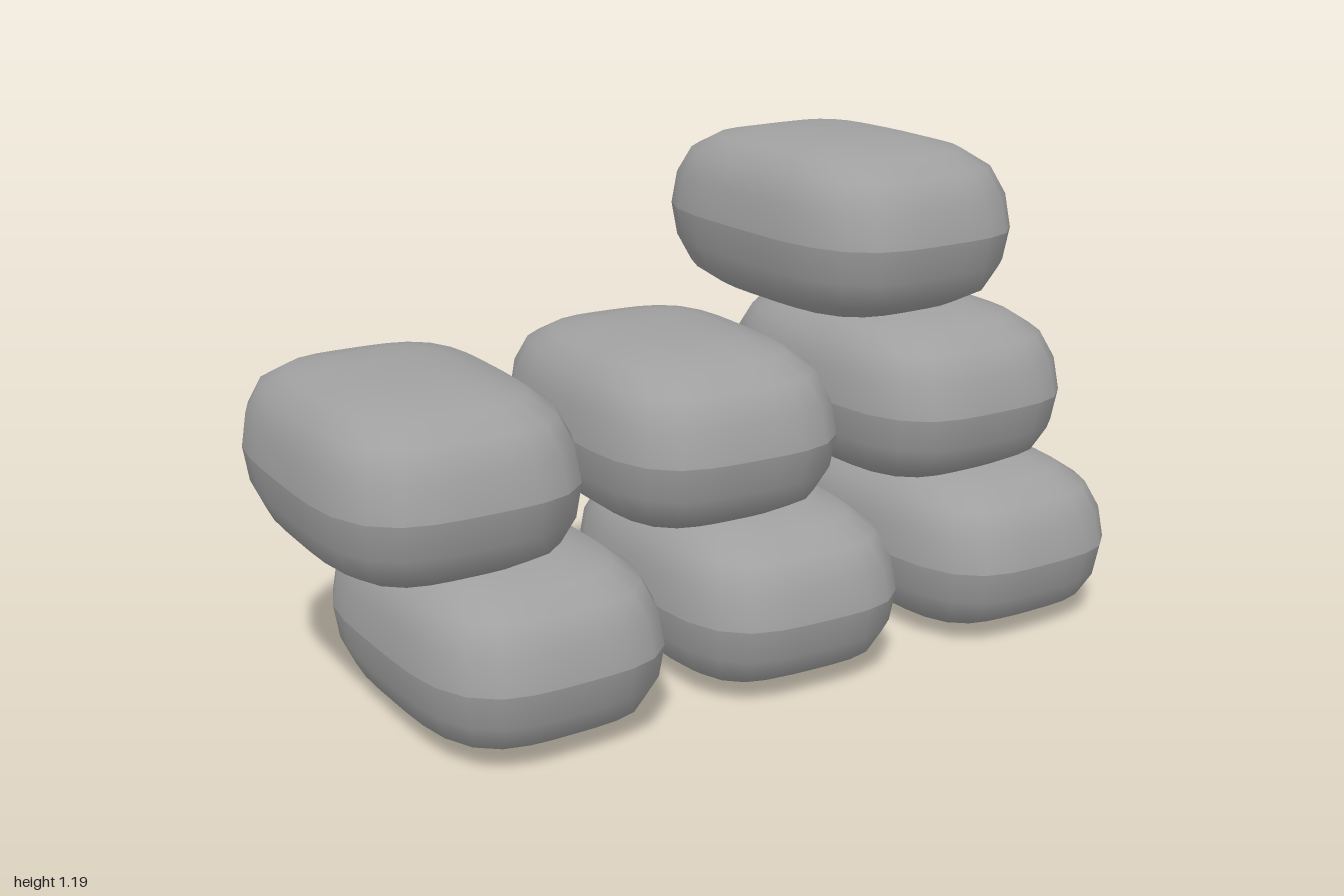
import * as THREE from 'three';
import { mergeVertices, mergeGeometries } from 'three/addons/utils/BufferGeometryUtils.js';

const HALF_WIDTH = 0.283, HALF_DEPTH = 0.402, SQUARENESS = 3.6;

// Half a stuffed bag: a lathed dome whose round plan is squared off.
function createHalf() {
  const profile = [[1, 0], [0.965, 0.075], [0.875, 0.135], [0.71, 0.17], [0.46, 0.19], [0.23, 0.195], [0, 0.196]]
    .map(([r, y]) => new THREE.Vector2(r, y));
  let half = new THREE.LatheGeometry(profile, 32);
  const p = half.attributes.position;
  for (let i = 0; i < p.count; i++) {
    const x = p.getX(i), z = p.getZ(i), r = Math.hypot(x, z);
    if (r < 1e-6) continue;
    const k = (Math.abs(x / r) ** SQUARENESS + Math.abs(z / r) ** SQUARENESS) ** (-1 / SQUARENESS);
    p.setX(i, x * k * HALF_WIDTH);
    p.setZ(i, z * k * HALF_DEPTH);
  }
  half.deleteAttribute('uv');
  half.deleteAttribute('normal');
  half = mergeVertices(half, 1e-5);
  half.computeVertexNormals();
  return half;
}

export function createModel() {
  const model = new THREE.Group();
  model.name = 'sandbagStack';
  const cloth = new THREE.MeshStandardMaterial({ color: 0xa0a0a0 });
  cloth.name = 'grey cloth';

  // Upper and lower halves meet in a creased seam.
  const bag = mergeGeometries([createHalf(), createHalf().rotateX(Math.PI)]);

  // Rows from the ground up: [x, slight turn] for each bag.
  const rows = [
    ['bottom', 0.2, [[-0.53, 0.03], [0.09, -0.03], [0.71, 0.02]]],
    ['middle', 0.6, [[-0.715, 0], [-0.085, -0.03], [0.54, 0.02]]],
    ['top', 1.0, [[0.368, 0.04]]],
  ];
  for (const [name, y, bags] of rows) {
    const row = new THREE.Group();
    row.name = `${name}Row`;
    bags.forEach(([x, turn], i) => {
      const mesh = new THREE.Mesh(bag, cloth);
      mesh.name = `${name}Sandbag${i + 1}`;
      mesh.position.set(x, y, 0);
      mesh.rotation.y = turn;
      row.add(mesh);
    });
    model.add(row);
  }
  return model;
}
